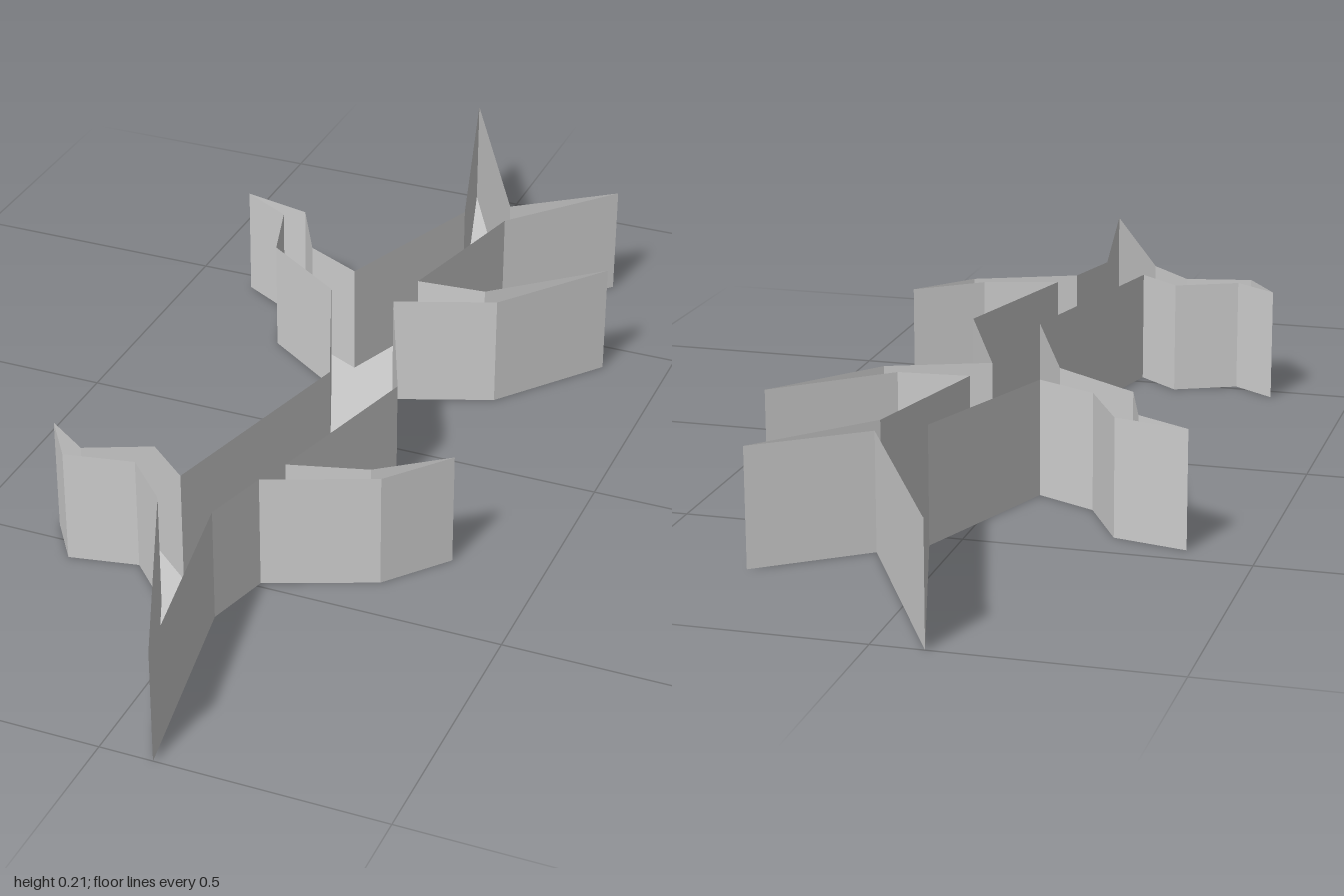
import * as THREE from 'three';

const HEIGHT = 0.213;

// Outline seen from above as [x, z], clockwise from the back tip
const RIGHT_SIDE = [
  [-0.09, -1], [0.12, -0.6], [0.30, -0.735], [0.13, -0.54],               // back tip and back twig
  [0.06, -0.25], [0.19, -0.26], [0.378, -0.425], [0.225, -0.23],          // middle twig
  [0.045, -0.16], [0.163, 0.12],                                          // trunk bend
  [0.08, 0.43], [0.22, 0.39], [0.338, 0.30], [0.247, 0.41], [0.057, 0.49], // front twig
  [0.025, 0.61],
];
const LEFT_SIDE = [
  [0.095, 1], [-0.077, 0.605],                                            // front tip
  [-0.16, 0.52], [-0.285, 0.545], [-0.345, 0.46], [-0.265, 0.515], [-0.15, 0.463], // hooked front twig
  [-0.07, 0.53], [0.033, 0.12], [-0.08, -0.16],                           // trunk bend
  [-0.24, -0.27], [-0.28, -0.40], [-0.378, -0.455], [-0.245, -0.425], [-0.175, -0.295], // hooked back twig
  [-0.065, -0.24], [0.045, -0.545],
];

// Upright flat walls following a closed outline
function wallGeometry(outline, height) {
  const positions = [];
  outline.forEach(([ax, az], i) => {
    const [bx, bz] = outline[(i + 1) % outline.length];
    positions.push(
      bx, 0, bz, ax, 0, az, ax, height, az,
      bx, 0, bz, ax, height, az, bx, height, bz,
    );
  });
  const geometry = new THREE.BufferGeometry();
  geometry.setAttribute('position', new THREE.Float32BufferAttribute(positions, 3));
  geometry.computeVertexNormals();
  return geometry;
}

export function createModel() {
  const group = new THREE.Group();
  group.name = 'branchingCrack';
  const material = new THREE.MeshStandardMaterial({
    color: 0xcccccc, flatShading: true, side: THREE.DoubleSide,
  });
  const outline = [...RIGHT_SIDE, ...LEFT_SIDE];

  // Walls, open at the top
  const walls = new THREE.Mesh(wallGeometry(outline, HEIGHT), material);
  walls.name = 'crackWalls';

  // Floor closing the bottom
  const shape = new THREE.Shape(outline.map(([x, z]) => new THREE.Vector2(x, -z)));
  const floor = new THREE.Mesh(new THREE.ShapeGeometry(shape).rotateX(-Math.PI / 2), material);
  floor.name = 'crackFloor';

  group.add(walls, floor);
  return group;
}
